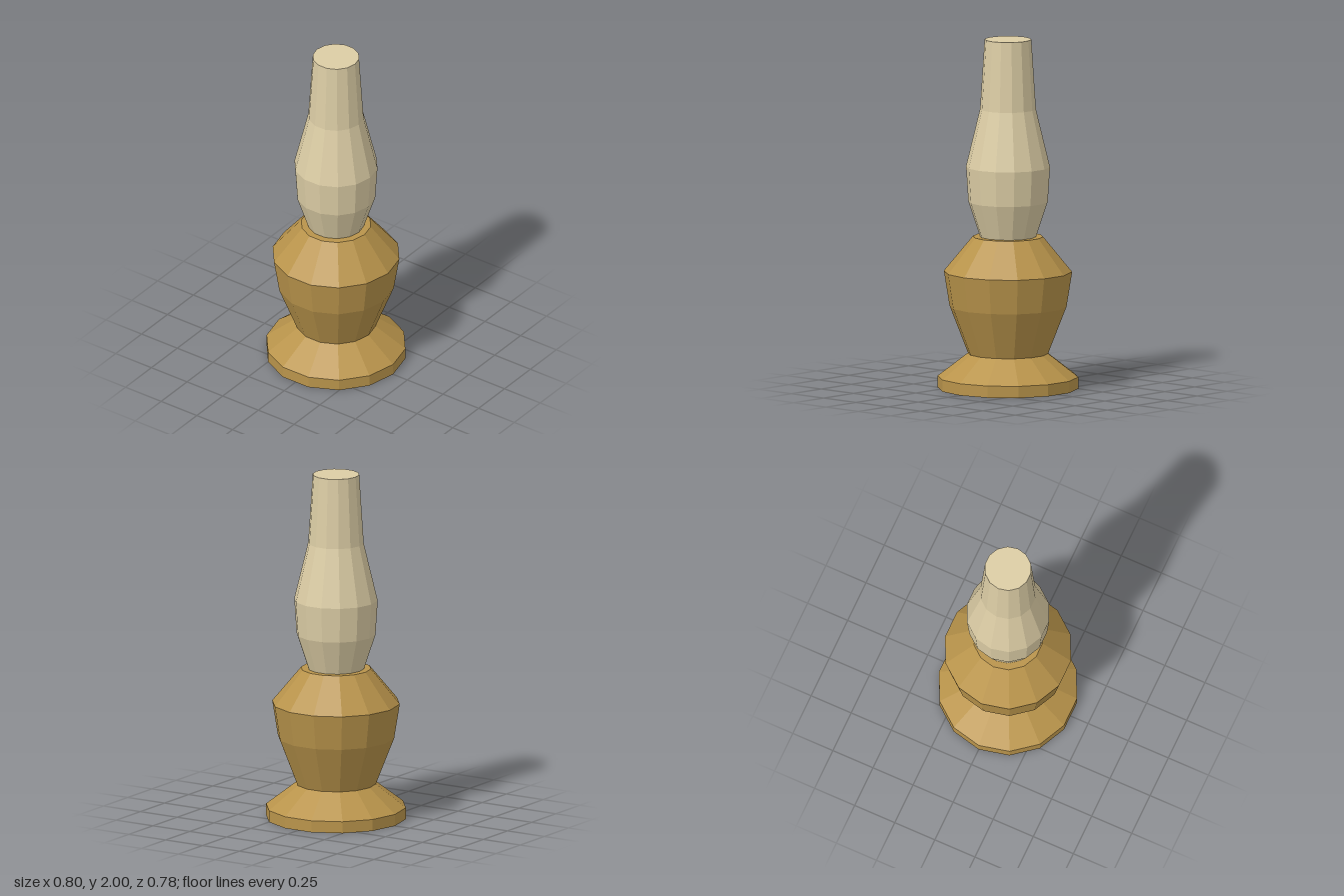
import * as THREE from 'three';

const SIDES = 14;

// Faceted turned part from [radius, height] pairs, listed bottom to top,
// closed with flat caps; a corner points along +x.
function turned(name, profile, material) {
  const closed = [[0, profile[0][1]], ...profile, [0, profile.at(-1)[1]]];
  const points = closed.map(([r, y]) => new THREE.Vector2(r, y));
  const geometry = new THREE.LatheGeometry(points, SIDES, Math.PI / 2).toNonIndexed();
  geometry.computeVertexNormals();
  const mesh = new THREE.Mesh(geometry, material);
  mesh.name = name;
  return mesh;
}

export function createModel() {
  const brass = new THREE.MeshStandardMaterial({ color: 0xb9944b, flatShading: true });
  brass.name = 'brass';
  const cream = new THREE.MeshStandardMaterial({ color: 0xdccda5, flatShading: true });
  cream.name = 'cream glass';

  const group = new THREE.Group();
  group.name = 'oilLamp';

  // Flared foot, waist and swelling reservoir
  group.add(turned('base', [
    [0.4, 0], [0.4, 0.067], [0.228, 0.2],
    [0.333, 0.47], [0.365, 0.67], [0.2, 0.87],
  ], brass));

  // Bulging chimney that narrows to the top
  group.add(turned('chimney', [
    [0.16, 0.87], [0.226, 1.07], [0.239, 1.27],
    [0.159, 1.6], [0.133, 2],
  ], cream));

  return group;
}
